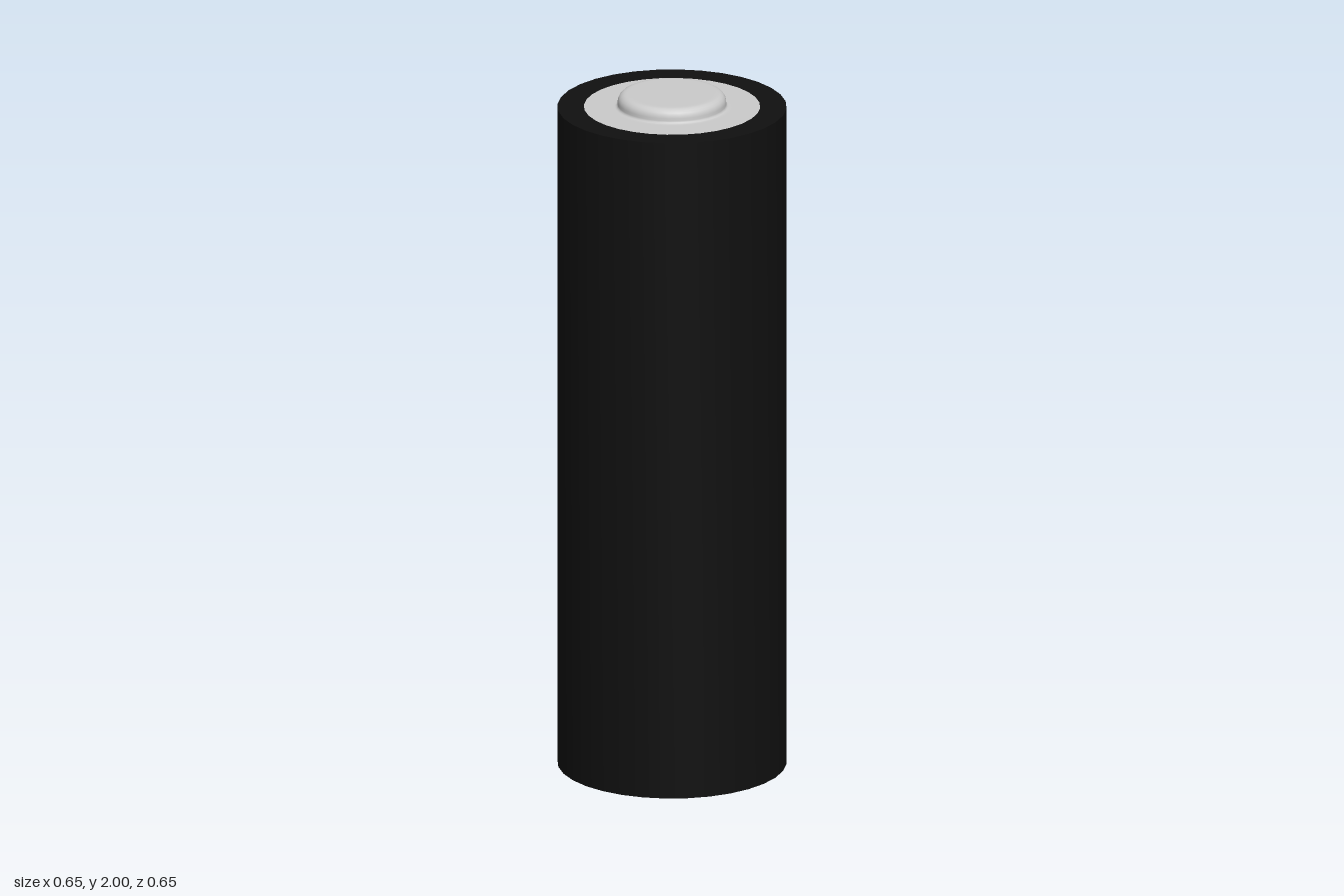
import * as THREE from 'three';
import { toCreasedNormals } from 'three/addons/utils/BufferGeometryUtils.js';

const SIDES = 32;
const BODY_RADIUS = 0.325;
const PLATE_RADIUS = 0.25;
const BODY_TOP = 1.96;

// Revolve a profile of [radius, height] pairs
function lathe(profile) {
  return new THREE.LatheGeometry(profile.map(([r, y]) => new THREE.Vector2(r, y)), SIDES);
}

// Points of a quarter round from angle a0 to a1
function arc(cx, cy, radius, a0, a1, steps = 5) {
  return Array.from({ length: steps + 1 }, (_, i) => {
    const a = a0 + (a1 - a0) * i / steps;
    return [cx + radius * Math.cos(a), cy + radius * Math.sin(a)];
  });
}

export function createModel() {
  const model = new THREE.Group();
  model.name = 'battery';
  const black = new THREE.MeshStandardMaterial({ color: 0x101010 });
  const grey = new THREE.MeshStandardMaterial({ color: 0xcccccc });

  const add = (name, geometry, material) => {
    const mesh = new THREE.Mesh(geometry, material);
    mesh.name = name;
    model.add(mesh);
    return mesh;
  };

  // Dark sleeve with folded-over flat rims at both ends
  const sleeve = lathe([
    [PLATE_RADIUS, 0], [BODY_RADIUS, 0], [BODY_RADIUS, BODY_TOP], [PLATE_RADIUS, BODY_TOP],
  ]);
  add('sleeve', toCreasedNormals(sleeve, Math.PI / 6), black);

  // Top plate flowing through a small fillet into the raised round contact
  const h = Math.PI / 2;
  add('positiveTerminal', lathe([
    [PLATE_RADIUS, BODY_TOP], [0.17, BODY_TOP],
    ...arc(0.162, BODY_TOP + 0.008, 0.008, -h, -2 * h, 3),
    ...arc(0.129, 1.975, 0.025, 0, h),
    [0.12, 2], [0, 2],
  ]), grey);

  // Flat contact at the bottom
  const base = new THREE.CircleGeometry(PLATE_RADIUS, SIDES);
  base.rotateX(h);
  add('negativeTerminal', base, grey);

  return model;
}
